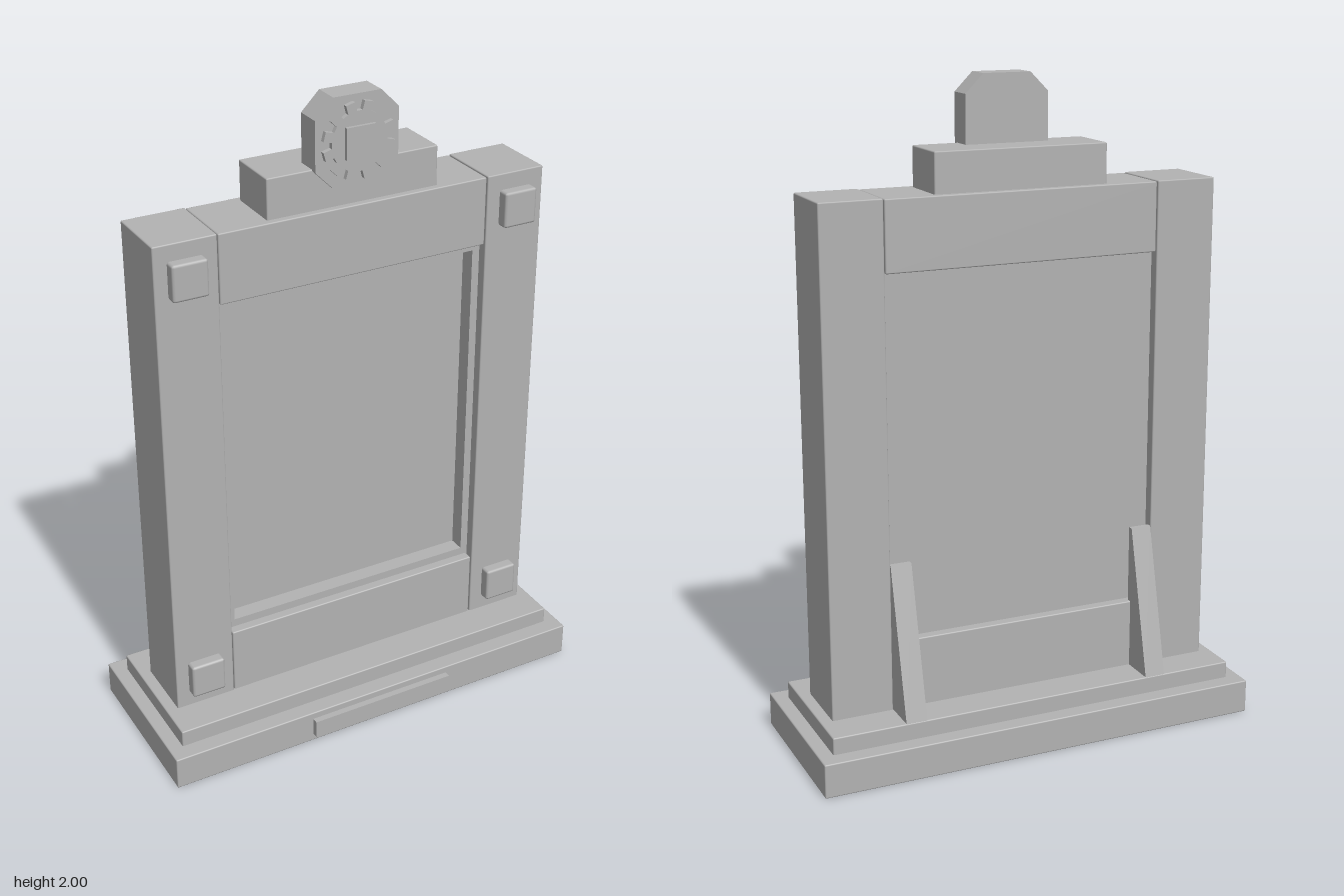
import * as THREE from 'three';
import { RoundedBoxGeometry } from 'three/addons/geometries/RoundedBoxGeometry.js';

export function createModel() {
  const model = new THREE.Group();
  const stone = new THREE.MeshStandardMaterial({ color: 0xb2b2b2 });
  stone.name = 'plain grey';

  const add = (name, geometry) => {
    const mesh = new THREE.Mesh(geometry, stone);
    mesh.name = name;
    model.add(mesh);
    return mesh;
  };

  // Box given by its limits on each axis, with slightly softened edges
  const box = (name, [x0, x1], [y0, y1], [z0, z1], bevel = 0.004) => {
    const size = [x1 - x0, y1 - y0, z1 - z0];
    const geometry = bevel
      ? new RoundedBoxGeometry(...size, 1, bevel)
      : new THREE.BoxGeometry(...size);
    add(name, geometry).position.set((x0 + x1) / 2, (y0 + y1) / 2, (z0 + z1) / 2);
  };

  // Extrusion of an outline in the xy plane, starting at z = 0
  const extrude = (points, depth) => new THREE.ExtrudeGeometry(
    new THREE.Shape(points.map(([x, y]) => new THREE.Vector2(x, y))),
    { depth, bevelEnabled: false });

  // Stepped base and blank plate
  box('base', [-0.7, 0.7], [0, 0.105], [-0.278, 0.258]);
  box('baseStep', [-0.656, 0.656], [0.1, 0.157], [-0.227, 0.206]);
  box('basePlate', [-0.24, 0.24], [0.025, 0.083], [0.25, 0.278], 0);

  // Frame: rails, recessed panel and its bead
  box('topRail', [-0.427, 0.427], [1.47, 1.68], [-0.116, 0.094]);
  box('bottomRail', [-0.427, 0.427], [0.15, 0.37], [-0.116, 0.094]);
  box('panel', [-0.435, 0.435], [0.36, 1.48], [-0.085, 0.015], 0);
  box('topBead', [-0.43, 0.43], [1.445, 1.475], [0.01, 0.065], 0);
  box('bottomBead', [-0.43, 0.43], [0.365, 0.395], [0.01, 0.065], 0);

  for (const side of [-1, 1]) {
    const label = side > 0 ? 'left' : 'right';
    const span = (a, b) => (side > 0 ? [a, b] : [-b, -a]);
    box(label + 'Post', span(0.43, 0.62), [0.15, 1.682], [-0.117, 0.096]);
    box(label + 'Bead', span(0.406, 0.435), [0.39, 1.45], [0.01, 0.065], 0);
    for (const [place, y] of [['Lower', 0.26], ['Upper', 1.578]]) {
      box(label + place + 'Stud', span(0.472, 0.58), [y - 0.055, y + 0.055], [0.09, 0.131], 0.008);
    }

    // Tapered rear brace
    const brace = extrude([[0.1, 0.15], [0.227, 0.15], [0.116, 0.61], [0.1, 0.61]], 0.065);
    brace.rotateY(Math.PI / 2);
    brace.translate(side * 0.397 - 0.0325, 0, 0);
    add(label + 'Brace', brace);
  }

  // Crest block and octagonal medallion
  box('crestBlock', [-0.27, 0.27], [1.675, 1.8], [-0.096, 0.074]);
  const a = 0.13, b = 0.074;
  const octagon = [[a, -b], [a, b], [b, a], [-b, a], [-a, b], [-a, -b], [-b, -a], [b, -a]];
  add('medallion', extrude(octagon, 0.08)).position.set(0, 1.87, 0.011);

  // Twelve-toothed emblem with square boss
  const gear = [];
  for (let i = 0; i < 12; i++) {
    const t = ((i + 0.5) * Math.PI) / 6;
    for (const [r, w] of [[0.086, -0.014], [0.112, -0.014], [0.112, 0.014], [0.086, 0.014]]) {
      gear.push([r * Math.cos(t) - w * Math.sin(t), r * Math.sin(t) + w * Math.cos(t)]);
    }
  }
  add('emblem', extrude(gear, 0.017)).position.set(0, 1.87, 0.088);
  box('emblemBoss', [-0.046, 0.046], [1.824, 1.916], [0.1, 0.115], 0);

  return model;
}
